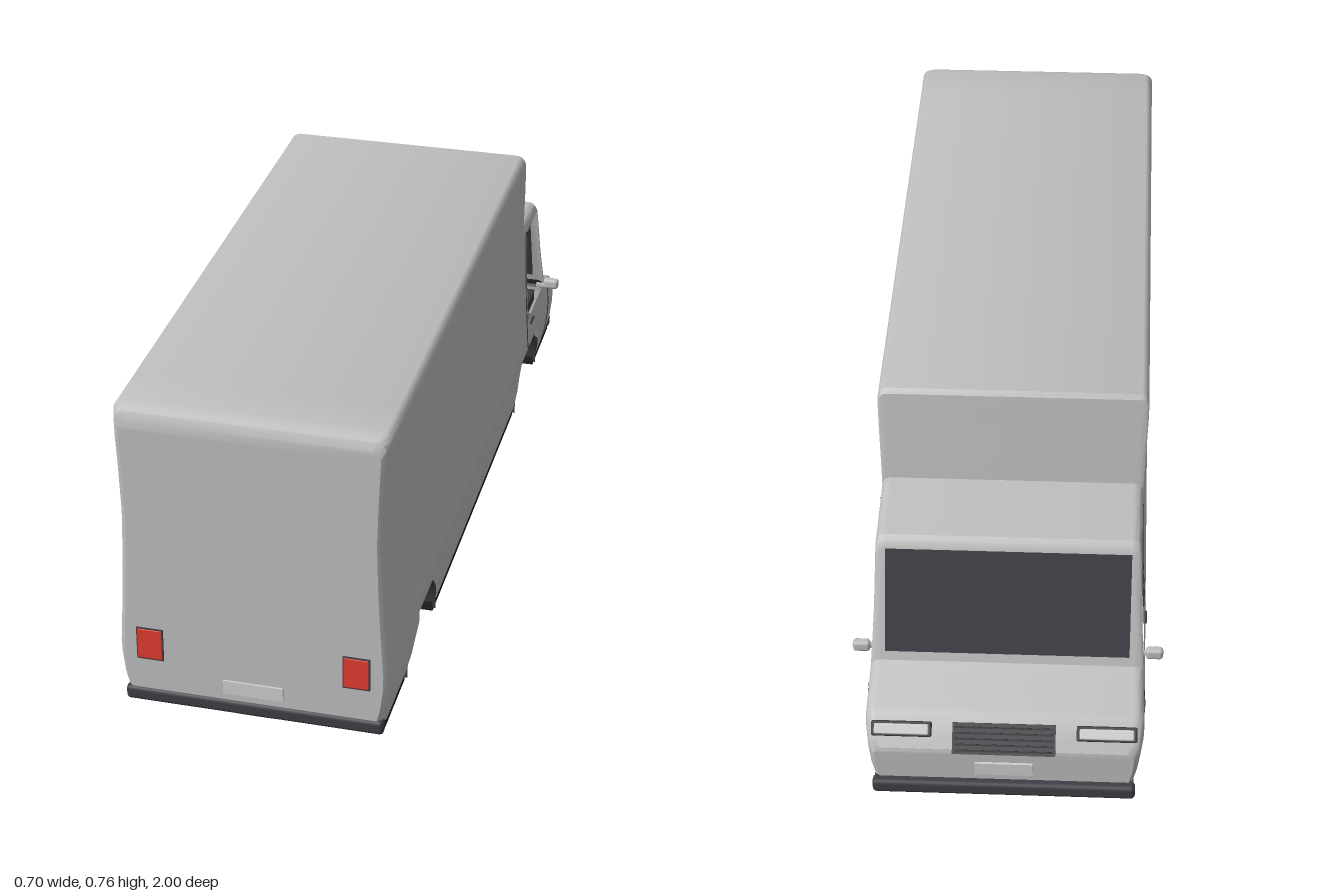
import * as THREE from 'three';
import { toCreasedNormals } from 'three/addons/utils/BufferGeometryUtils.js';
import { RoundedBoxGeometry } from 'three/addons/geometries/RoundedBoxGeometry.js';

const mat = (name, color, side = THREE.FrontSide) => {
  const m = new THREE.MeshStandardMaterial({ color, side });
  m.name = name;
  return m;
};

// piecewise-linear lookup in [[key, value], ...]
function lookup(table, t) {
  if (t <= table[0][0]) return table[0][1];
  for (let i = 1; i < table.length; i++) {
    const [a, va] = table[i - 1], [b, vb] = table[i];
    if (t <= b) return va + (vb - va) * (t - a) / (b - a);
  }
  return table[table.length - 1][1];
}

const SILL = 0.035, ARCH_R = 0.145, ARCH_Y = 0.02, ARCHES = [0.633, -0.611];
const WINDOW = { front: -0.79, back: -0.574, sill: 0.245 };
const ROOF = [[-0.98, 0.135], [-0.93, 0.2], [-0.81, 0.245], [-0.72, 0.512], [-0.705, 0.525],
  [-0.52, 0.54], [-0.485, 0.75], [-0.475, 0.76], [0.96, 0.76], [0.985, 0.748], [0.994, 0.73]];
const WINDOW_TOP = [[-0.79, 0.25], [-0.713, 0.49], [-0.7, 0.5]];
const PLAN = [[-0.98, 0.018], [-0.965, 0.007], [-0.92, 0], [0.96, 0], [0.985, 0.008], [0.994, 0.018]];
const WIDTH = [[0.03, 0.293], [0.08, 0.305], [0.13, 0.311], [0.165, 0.312], [0.245, 0.307],
  [0.35, 0.301], [0.5, 0.297], [0.62, 0.301], [0.7, 0.305], [0.76, 0.305]];

// half width of the body, with a pressed-in channel along the lower side
function halfWidth(y, z) {
  const channel = z > -0.72 && z < 0.72 ? lookup([[0.05, 0], [0.13, 0.008], [0.146, 0.008], [0.165, 0]], y) : 0;
  return lookup(WIDTH, y) - lookup(PLAN, z) - channel;
}

function bottom(z) {
  let y = SILL;
  for (const c of ARCHES) {
    const d = ARCH_R ** 2 - (z - c) ** 2;
    if (d > 0) y = Math.max(y, ARCH_Y + Math.sqrt(d));
  }
  return y;
}

// one closed cross-section, right sill over the roof to left sill
function section(z) {
  const top = lookup(ROOF, z), r = 0.022, low = bottom(z), shoulder = top - r;
  const wt = Math.min(lookup(WINDOW_TOP, z), shoulder);
  const levels = [SILL, 0.08, 0.13, 0.146, 0.165, 0.2, WINDOW.sill];
  for (let i = 1; i <= 4; i++) levels.push(WINDOW.sill + (wt - WINDOW.sill) * i / 4);
  for (let i = 1; i <= 6; i++) levels.push(wt + (shoulder - wt) * i / 6);
  const half = levels.map(l => {
    const y = Math.max(low, Math.min(l, shoulder));
    return [halfWidth(y, z), y];
  });
  const w = halfWidth(shoulder, z);
  for (let i = 1; i <= 5; i++) {
    const a = i / 5 * Math.PI / 2;
    half.push([w - r + r * Math.cos(a), shoulder + r * Math.sin(a)]);
  }
  return [...half, ...half.slice().reverse().map(([x, y]) => [-x, y])].map(([x, y]) => new THREE.Vector3(x, y, z));
}

function bodyGeometry() {
  const zs = [...ROOF.map(p => p[0]), ...PLAN.map(p => p[0]), WINDOW.front, WINDOW.back,
    -0.713, -0.7, -0.765, -0.88, -0.845, -0.2, 0, 0.2, 0.719, 0.721, 0.85, 0.975];
  for (const c of ARCHES) for (let i = 0; i <= 24; i++) zs.push(c + 0.1442 * Math.cos(i * Math.PI / 24));
  const cols = [...new Set(zs.map(z => +z.toFixed(4)))].sort((a, b) => a - b);
  const secs = cols.map(section), n = secs[0].length, M = n / 2 - 1, pos = [];
  const tri = (a, b, c) => {
    const area = b.clone().sub(a).cross(c.clone().sub(a)).length();
    if (area > 1e-9) for (const p of [a, b, c]) pos.push(p.x, p.y, p.z);
  };
  const quad = (a, b, c, d) => { tri(a, b, c); tri(a, c, d); };
  for (let i = 0; i < cols.length - 1; i++) {
    const mid = (cols[i] + cols[i + 1]) / 2;
    const hole = mid > WINDOW.front && mid < WINDOW.back;
    for (let k = 0; k < n - 1; k++) {
      const row = k < M ? k : 2 * M - k;
      if (hole && row >= 6 && row <= 9) continue; // open side window
      quad(secs[i][k], secs[i][k + 1], secs[i + 1][k + 1], secs[i + 1][k]);
    }
  }
  // nose and tail panels
  const f = secs[0], b = secs[secs.length - 1];
  for (let k = 0; k < M; k++) {
    quad(f[k], f[n - 1 - k], f[n - 2 - k], f[k + 1]);
    quad(b[k], b[k + 1], b[n - 2 - k], b[n - 1 - k]);
  }
  const g = new THREE.BufferGeometry();
  g.setAttribute('position', new THREE.Float32BufferAttribute(pos, 3));
  return toCreasedNormals(g, 0.6);
}

export function createModel() {
  const root = new THREE.Group();
  root.name = 'boxVan';
  const paint = mat('body grey', 0xbebebe, THREE.DoubleSide);
  const trim = mat('dark trim', 0x3f3e45, THREE.DoubleSide);
  const black = mat('underside black', 0x202022);
  const red = mat('lamp red', 0xe03c2e);
  const silver = mat('plate silver', 0xcfcfcf);

  const add = (name, geo, material, x = 0, y = 0, z = 0, tilt = 0) => {
    const m = new THREE.Mesh(geo, material);
    m.name = name;
    m.position.set(x, y, z);
    m.rotation.x = tilt;
    root.add(m);
    return m;
  };
  const box = (w, h, d) => new THREE.BoxGeometry(w, h, d);
  const soft = (w, h, d, r) => new RoundedBoxGeometry(w, h, d, 2, r);

  add('body', bodyGeometry(), paint);
  add('windscreen', box(0.55, 0.245, 0.009), trim, 0, 0.383, -0.7635, 0.322);
  add('cabFloor', box(0.57, 0.03, 0.22), trim, 0, 0.215, -0.67);

  // underside with a slightly bowed centre, and side pans between the wheel wells
  const floor = new THREE.BoxGeometry(0.47, 0.04, 1.95, 12, 1, 1);
  const p = floor.attributes.position;
  for (let i = 0; i < p.count; i++) if (p.getY(i) < 0) p.setY(i, -0.02 + 0.012 * (p.getX(i) / 0.235) ** 2);
  floor.computeVertexNormals();
  add('floor', floor, black, 0, 0.02, 0);
  const spans = [[-0.97, -0.755], [-0.467, 0.489], [0.777, 0.985]];

  for (const s of [1, -1]) {
    const side = s > 0 ? 'left' : 'right';
    for (const [a, b] of spans) add(side + 'FloorPan', box(0.056, 0.026, b - a), black, s * 0.263, 0.025, (a + b) / 2);
    add(side + 'RunningBoard', soft(0.012, 0.02, 0.58, 0.004), trim, s * 0.275, 0.012, 0.01);

    // empty wheel wells
    for (const z of ARCHES) {
      const well = new THREE.CylinderGeometry(ARCH_R, ARCH_R, 0.064, 32, 1, true, 0, Math.PI).rotateZ(Math.PI / 2);
      add(side + 'WheelWell', well, trim, s * 0.266, ARCH_Y, z);
      const wall = new THREE.CircleGeometry(ARCH_R, 32, 0, Math.PI).rotateY(s * Math.PI / 2);
      add(side + 'WheelWellWall', wall, paint, s * 0.236, ARCH_Y, z);
    }

    // door and wing seams
    for (const [z, y0, y1] of [[-0.557, 0.17, 0.51], [-0.845, 0.045, 0.205]]) {
      const pts = [];
      for (let i = 0; i <= 8; i++) {
        const y = y0 + (y1 - y0) * i / 8;
        pts.push(new THREE.Vector3(s * (halfWidth(y, z) - 0.001), y, z));
      }
      add(side + 'Seam', new THREE.TubeGeometry(new THREE.CatmullRomCurve3(pts), 16, 0.003, 6), trim);
    }
    add(side + 'DoorHandle', soft(0.008, 0.007, 0.04, 0.002), trim, s * 0.31, 0.224, -0.615);

    // mirrors
    add(side + 'Mirror', soft(0.04, 0.027, 0.022, 0.008), paint, s * 0.331, 0.257, -0.775);
    add(side + 'MirrorArm', box(0.03, 0.008, 0.01), paint, s * 0.307, 0.252, -0.77);

    // lamps
    add(side + 'HeadlampFrame', soft(0.135, 0.034, 0.016, 0.004), trim, s * 0.229, 0.172, -0.955, 0.65);
    add(side + 'Headlamp', soft(0.122, 0.024, 0.018, 0.004), silver, s * 0.229, 0.174, -0.958, 0.65);
    add(side + 'TailLampFrame', box(0.061, 0.081, 0.007), trim, s * 0.2345, 0.169, 0.994);
    add(side + 'TailLamp', soft(0.057, 0.077, 0.009, 0.003), red, s * 0.2345, 0.169, 0.9945);
  }

  // grille with slats
  add('grille', box(0.23, 0.07, 0.014), trim, 0, 0.158, -0.966, 0.7);
  for (let i = 0; i < 5; i++) {
    const t = (i - 2) * 0.013;
    add('grilleSlat', box(0.22, 0.004, 0.006), black, 0, 0.162 + t * 0.76, -0.972 + t * 0.64, 0.7);
  }

  // bumpers and plates
  for (const [name, z] of [['frontBumper', -0.985], ['rearBumper', 0.985]]) {
    add(name, soft(0.59, 0.035, 0.03, 0.01), trim, 0, 0.032, z);
  }
  add('rearPlate', box(0.137, 0.033, 0.008), silver, 0, 0.084, 0.995);
  add('frontPlate', box(0.13, 0.033, 0.008), silver, 0, 0.084, -0.982);
  return root;
}
